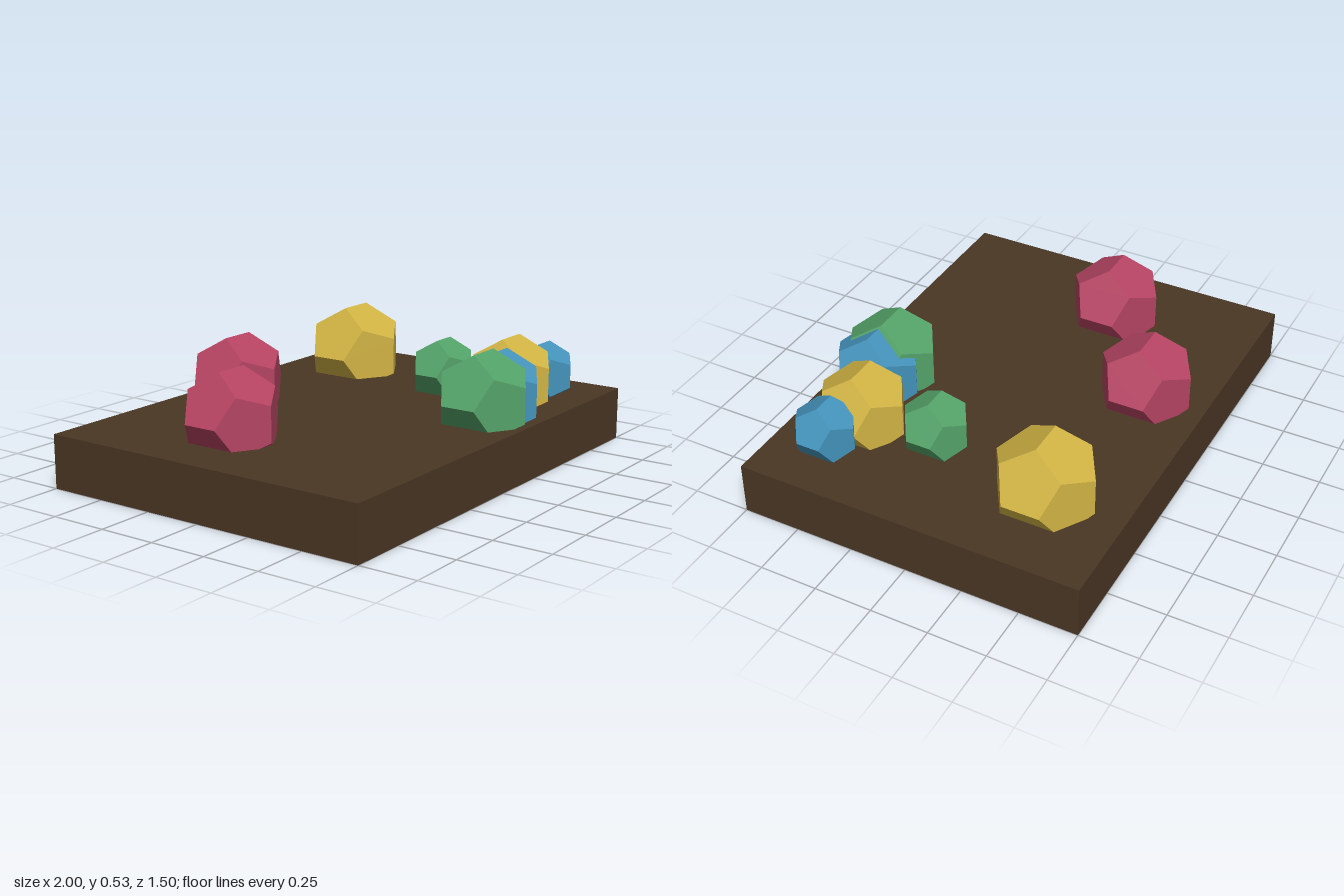
import * as THREE from 'three';

const material = (name, color) => {
  const m = new THREE.MeshStandardMaterial({ color });
  m.name = name;
  return m;
};

export function createModel() {
  const group = new THREE.Group();
  group.name = 'gemTray';

  const brown = material('dark brown', 0x4b3725);
  const pink = material('pink', 0xb64463);
  const green = material('green', 0x54a369);
  const yellow = material('yellow', 0xd2b444);
  const blue = material('blue', 0x4493bc);

  // Base slab
  const base = new THREE.Mesh(new THREE.BoxGeometry(2, 0.229, 1.5), brown);
  base.name = 'baseSlab';
  base.position.y = 0.1145;
  group.add(base);

  // Twelve-sided gems, half sunk into the slab: name, material, x, z, half width
  const gems = [
    ['pinkGemLeft', pink, -0.64, -0.118, 0.197],
    ['pinkGemBack', pink, -0.159, -0.485, 0.199],
    ['yellowGemBack', yellow, 0.608, -0.41, 0.213],
    ['greenGemSmall', green, 0.512, 0.134, 0.142],
    ['greenGemFront', green, 0.179, 0.54, 0.2],
    ['blueGemFront', blue, 0.281, 0.549, 0.186],
    ['yellowGemFront', yellow, 0.543, 0.457, 0.188],
    ['blueGemSmall', blue, 0.735, 0.513, 0.134],
  ];
  const halfWidthRatio = (1 + Math.sqrt(5)) / 2 / Math.sqrt(3);
  for (const [name, mat, x, z, half] of gems) {
    const gem = new THREE.Mesh(new THREE.DodecahedronGeometry(half / halfWidthRatio), mat);
    gem.name = name;
    gem.position.set(x, 0.321, z);
    group.add(gem);
  }
  return group;
}
